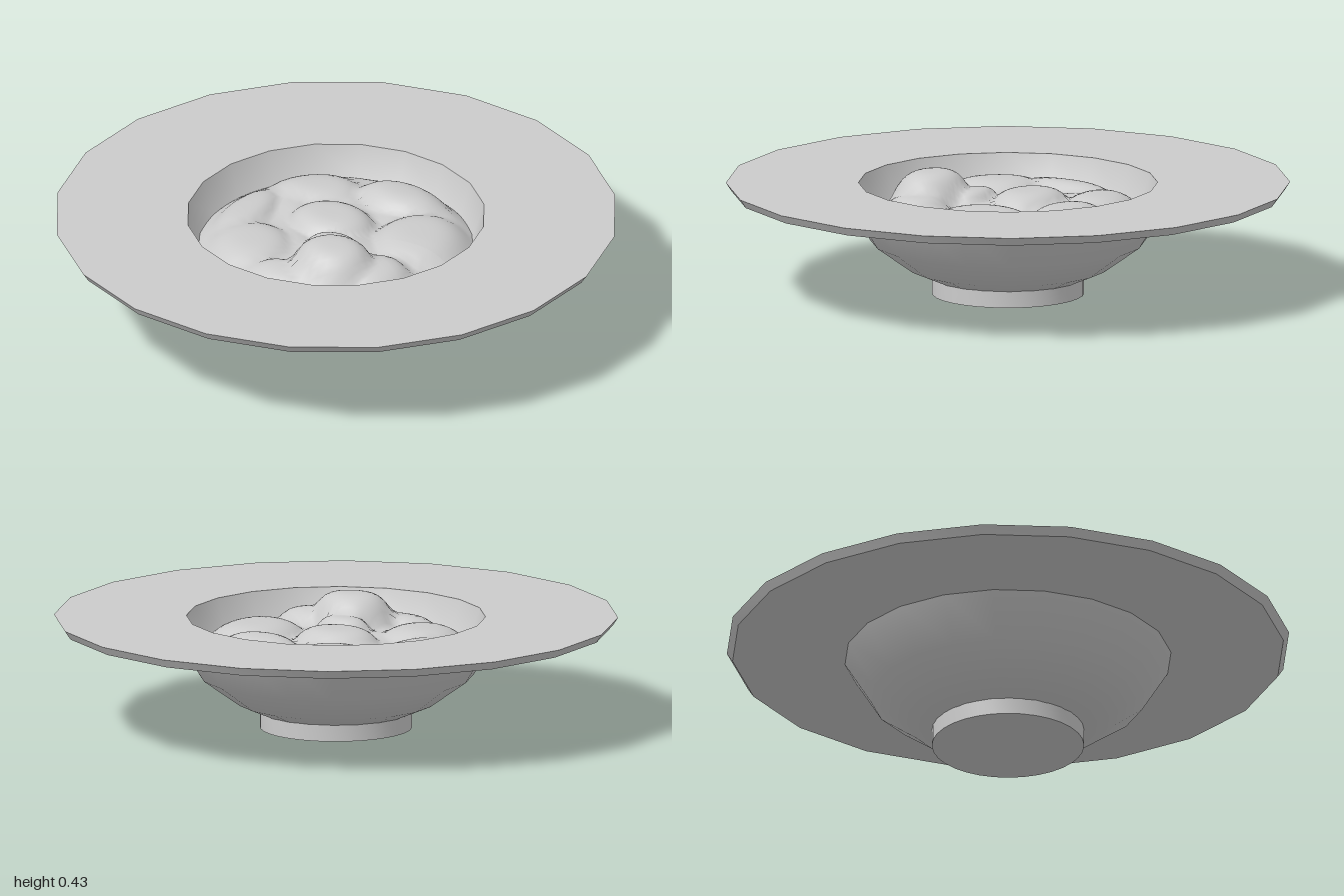
import * as THREE from 'three';
import { toCreasedNormals } from 'three/addons/utils/BufferGeometryUtils.js';

const grey = () => new THREE.MeshStandardMaterial({ color: 0xcccccc });

// Turned part from [radius, height] pairs, listed from the underside outwards
function turned(name, profile, sides) {
  const points = profile.map(([r, y]) => new THREE.Vector2(r, y));
  const geometry = toCreasedNormals(new THREE.LatheGeometry(points, sides), 0.7);
  const mesh = new THREE.Mesh(geometry, grey());
  mesh.name = name;
  return mesh;
}

// Lumps in the filling: x, z, radius x, radius z, top height
const lumps = [
  [0.10, -0.33, 0.19, 0.13, 0.375],
  [-0.05, -0.06, 0.17, 0.14, 0.375],
  [0.30, -0.10, 0.19, 0.20, 0.365],
  [0.12, 0.25, 0.17, 0.15, 0.435],
  [0.05, 0.11, 0.12, 0.08, 0.375],
  [0.27, 0.22, 0.14, 0.14, 0.375],
  [-0.22, -0.27, 0.19, 0.14, 0.36],
  [-0.36, 0.00, 0.10, 0.22, 0.355],
  [-0.24, 0.22, 0.17, 0.18, 0.36],
  [-0.03, 0.36, 0.14, 0.10, 0.36],
];

function fillingHeight(x, z) {
  const r = Math.hypot(x, z) / 0.5;
  let y = 0.325 + 0.008 * Math.sin(13 * x + 7 * z) * Math.cos(15 * z - 6 * x)
    + 0.005 * Math.sin(31 * x - 17 * z);
  for (const [cx, cz, rx, rz, top] of lumps) {
    const d = ((x - cx) / rx) ** 2 + ((z - cz) / rz) ** 2;
    if (d < 1) y = Math.max(y, 0.31 + (top - 0.31) * (1 - d * d));
  }
  // Sink the edge against the wall of the bowl
  return y - (y - 0.27) * Math.pow(Math.min(r, 1), 9);
}

// Lumpy food: a disc of rings raised by the height rule
function makeFilling() {
  const geometry = new THREE.RingGeometry(0, 0.495, 80, 30);
  geometry.rotateX(-Math.PI / 2);
  const p = geometry.attributes.position;
  for (let i = 0; i < p.count; i++) p.setY(i, fillingHeight(p.getX(i), p.getZ(i)));
  geometry.computeVertexNormals();
  const mesh = new THREE.Mesh(geometry, grey());
  mesh.name = 'filling';
  return mesh;
}

export function createModel() {
  const group = new THREE.Group();
  group.name = 'filledBowl';

  // Round foot
  group.add(turned('foot', [[0, 0], [0.27, 0], [0.27, 0.065], [0, 0.065]], 32));

  // Bowl with its wide flat brim
  group.add(turned('bowl', [
    [0, 0.05], [0.25, 0.05], [0.355, 0.095], [0.487, 0.19], [0.58, 0.34],
    [0.98, 0.37], [1, 0.4], [0.53, 0.4],
    [0.495, 0.29], [0.42, 0.2], [0.25, 0.1], [0, 0.09],
  ], 20));

  group.add(makeFilling());
  return group;
}
